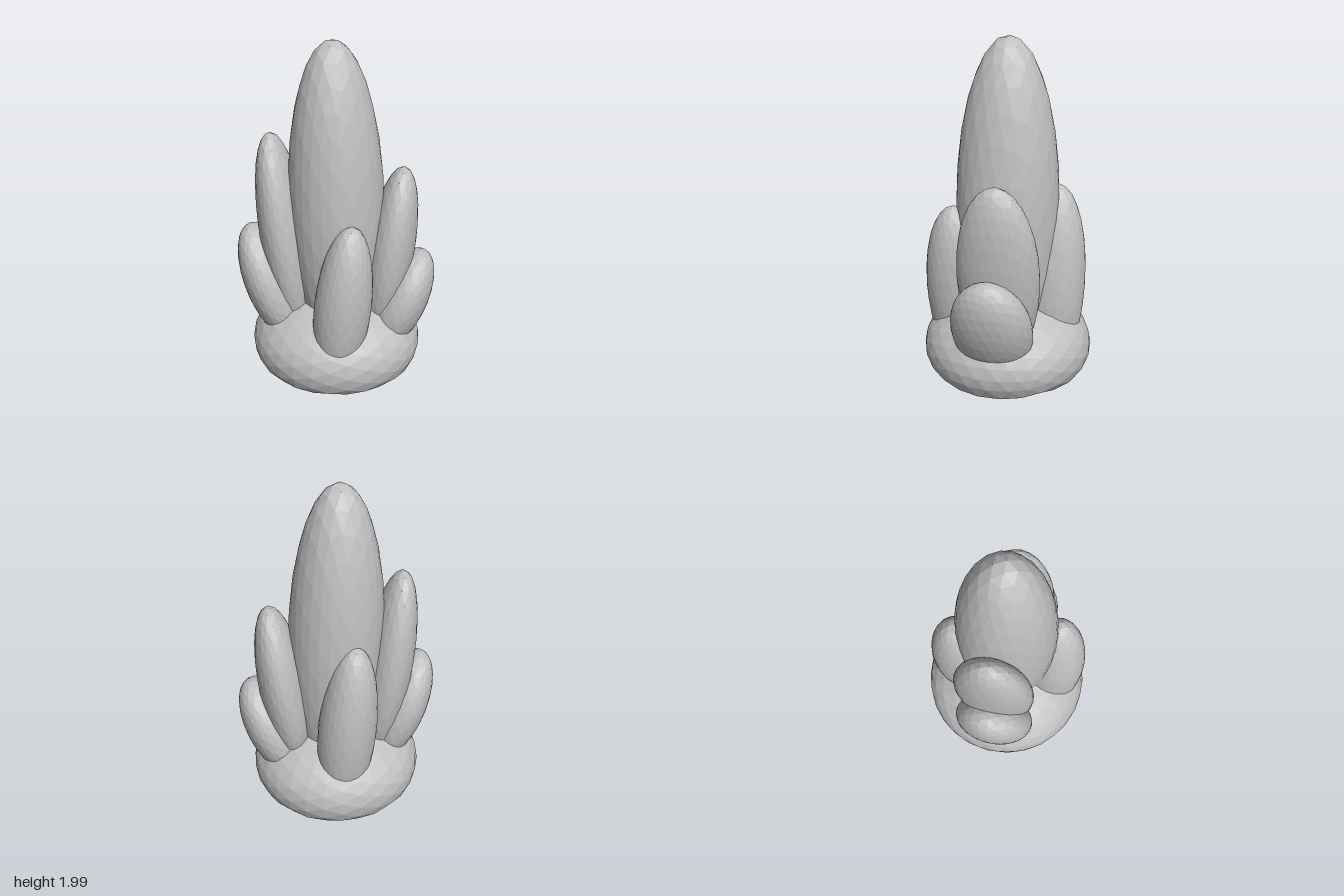
import * as THREE from 'three';

const stone = new THREE.MeshStandardMaterial({ color: 0xc0c0c0 });
stone.name = 'pale grey stone';

// Faceted ellipsoid; leanX / leanZ tip its top towards +x / +z (radians).
function lobe(name, [x, y, z], [rx, ry, rz], leanX = 0, leanZ = 0) {
  const g = new THREE.IcosahedronGeometry(1, 4);
  g.scale(rx, ry, rz);
  g.rotateX(leanZ);
  g.rotateZ(-leanX);
  g.translate(x, y, z);
  // flatten anything below the ground
  const p = g.attributes.position;
  for (let i = 0; i < p.count; i++) if (p.getY(i) < 0) p.setY(i, 0);
  // unshared vertices give one normal per facet
  g.computeVertexNormals();
  const mesh = new THREE.Mesh(g, stone);
  mesh.name = name;
  return mesh;
}

export function createModel() {
  const model = new THREE.Group();
  model.name = 'spireCluster';
  model.add(
    // flat-bottomed cushion
    lobe('base', [0, 0.14, 0], [0.505, 0.33, 0.5]),
    // central spire
    lobe('mainSpire', [0, 1.0, 0], [0.278, 1.0, 0.3], -0.025),
    // tall side spires
    lobe('rightTallSpire', [-0.3, 0.8, 0], [0.145, 0.655, 0.24], -0.13),
    lobe('leftTallSpire', [0.31, 0.7, -0.02], [0.145, 0.56, 0.24], 0.14),
    // short outer spires
    lobe('rightShortSpire', [-0.38, 0.5, 0.02], [0.157, 0.4, 0.235], -0.35),
    lobe('leftShortSpire', [0.38, 0.4, 0], [0.157, 0.36, 0.238], 0.4),
    // front and back spires
    lobe('frontSpire', [0.06, 0.5, 0.29], [0.165, 0.525, 0.188], 0.1, 0.02),
    lobe('backSpire', [-0.045, 0.55, -0.268], [0.17, 0.59, 0.187], -0.08, -0.02),
  );
  return model;
}
